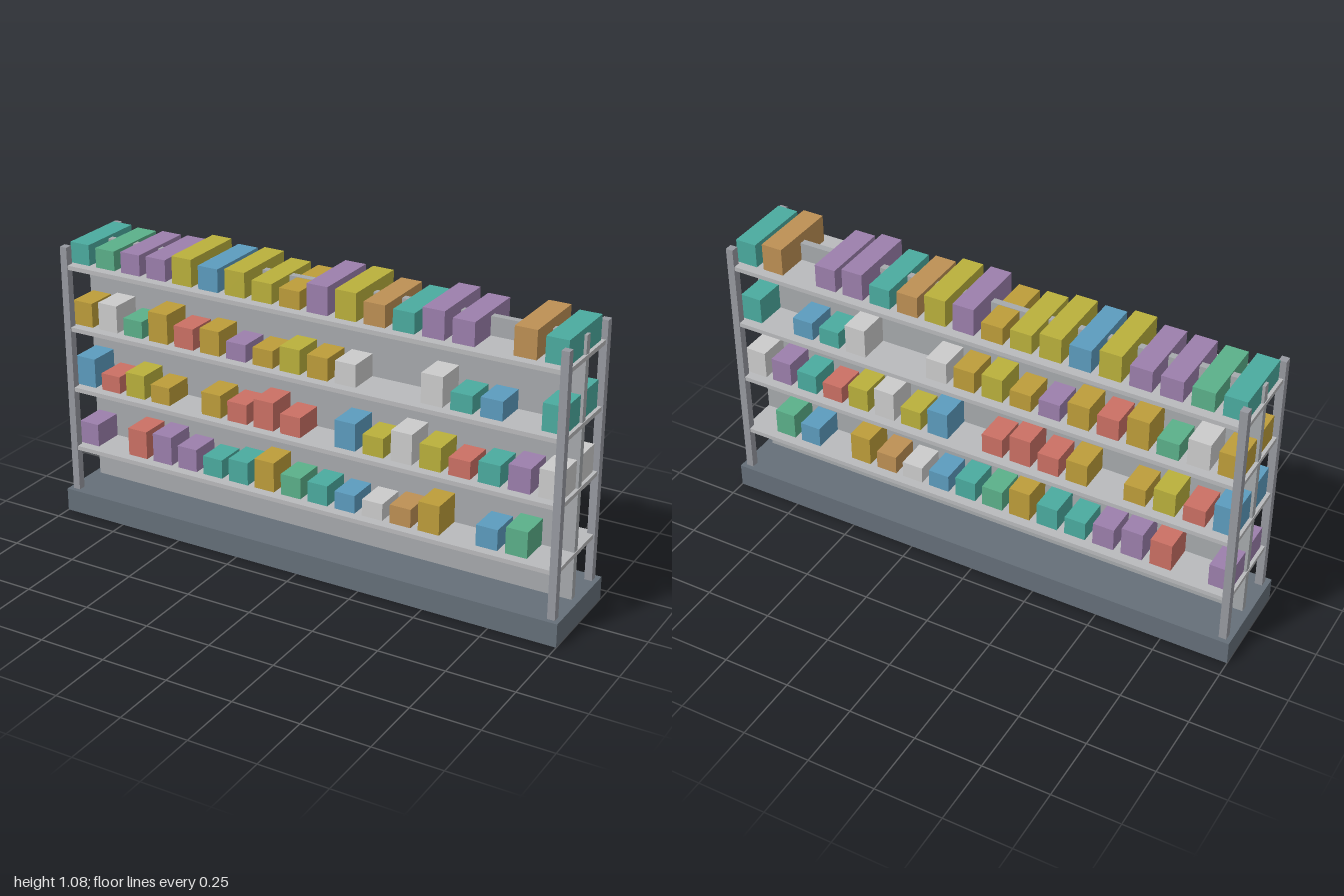
import * as THREE from 'three';

const COLORS = {
  T: 0x4bab9f, // teal
  N: 0x5bb08a, // green
  P: 0x9c7fac, // purple
  Y: 0xbab03c, // yellow
  G: 0xbd9d3a, // gold
  B: 0x5c9cbe, // blue
  R: 0xcb7064, // red
  O: 0xbd9054, // orange
  W: 0xcccccc, // grey
};

// Each row, bottom to top: carton colours by slot ('.' is empty) and heights in thousandths
const ROWS = [
  { slots: 'P.RPPTTGNTBWOG.BN.',
    heights: [87, 0, 107, 110, 87, 72, 87, 113, 80, 77, 67, 63, 70, 110, 0, 78, 98, 0] },
  { slots: 'BRYG.GRRR.BYWYRTPW',
    heights: [112, 65, 92, 68, 0, 87, 75, 107, 75, 0, 102, 73, 113, 90, 65, 77, 92, 103] },
  { slots: 'GWNGRGPGYGW..WTB.T',
    heights: [92, 103, 65, 112, 80, 92, 65, 65, 91, 83, 83, 0, 0, 109, 65, 70, 0, 98] },
  { slots: 'TNPPYBYYGPYOTPP.OT',
    heights: [78, 73, 78, 80, 101, 86, 93, 73, 66, 103, 102, 80, 74, 102, 86, 0, 103, 90] },
];

const BASE_TOP = 0.088;
const RACK_TOP = 1.045;
const SHELF_TOP = 0.267;
const SHELF_STEP = 0.2367;
const SHELF_THICK = 0.016;
const SLOT_STEP = 0.1088;

export function createModel() {
  const model = new THREE.Group();
  model.name = 'shelvingUnit';
  const mat = (color) => new THREE.MeshStandardMaterial({ color });
  const postMat = mat(0x9799a0);
  const shelfMat = mat(0xb9babc);
  const cartonMats = {};
  for (const key in COLORS) cartonMats[key] = mat(COLORS[key]);

  // Box standing on height y
  const addBox = (parent, name, material, w, h, d, x, y, z) => {
    const mesh = new THREE.Mesh(new THREE.BoxGeometry(w, h, d), material);
    mesh.name = name;
    mesh.position.set(x, y + h / 2, z);
    parent.add(mesh);
  };

  // Plinth and central dividing panel
  addBox(model, 'base', mat(0x656f79), 2, BASE_TOP, 0.374, 0, 0, 0);
  addBox(model, 'dividerPanel', mat(0xa6a9ac), 1.95, RACK_TOP - BASE_TOP, 0.026, 0, BASE_TOP, 0);

  // Corner posts
  for (const sx of [-1, 1]) {
    for (const sz of [-1, 1]) {
      const name = (sz > 0 ? 'front' : 'back') + (sx > 0 ? 'Left' : 'Right') + 'Post';
      addBox(model, name, postMat, 0.028, RACK_TOP - BASE_TOP, 0.029,
        sx * 0.969, BASE_TOP, sz * 0.1555);
    }
  }

  // Shelves with their cartons, which pass through the panel to both sides
  ROWS.forEach((row, level) => {
    const top = SHELF_TOP + level * SHELF_STEP;
    addBox(model, `shelf${level + 1}`, shelfMat, 1.955, SHELF_THICK, 0.334,
      0, top - SHELF_THICK, 0);
    const cartons = new THREE.Group();
    cartons.name = `cartonRow${level + 1}`;
    [...row.slots].forEach((key, i) => {
      if (key === '.') return;
      addBox(cartons, `carton${i + 1}`, cartonMats[key], 0.08, row.heights[i] / 1000, 0.262,
        (i - 8.5) * SLOT_STEP, top, 0);
    });
    model.add(cartons);
  });

  return model;
}
